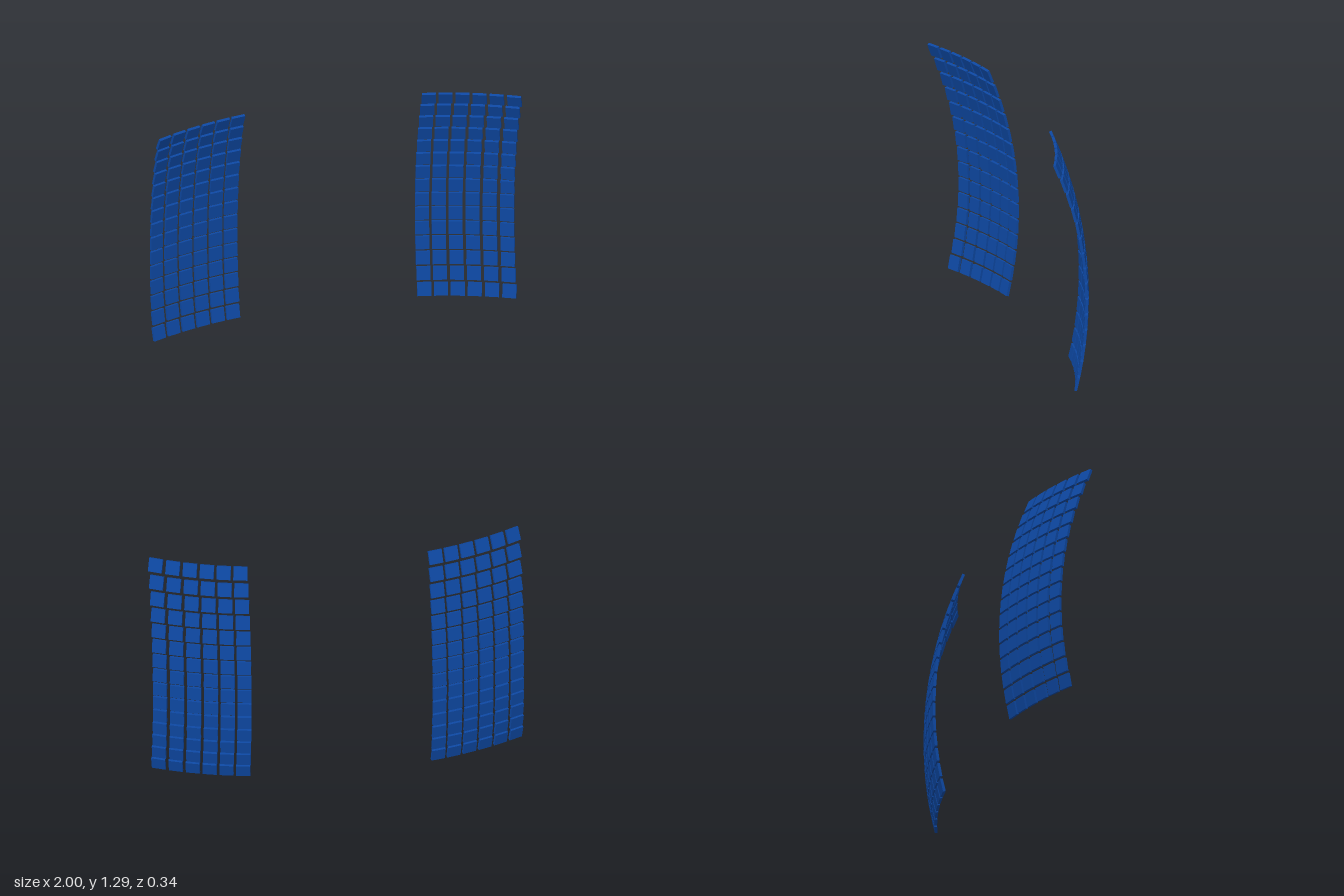
import * as THREE from 'three';

const COLUMNS = 6, ROWS = 15, PITCH = 0.087;
const TILE = 0.075, THICKNESS = 0.015;
const RADIUS = 2.04;

// One curved panel: square tiles laid on a sphere, each facing its centre
function buildPanel(side, geometry, material) {
  const panel = new THREE.Group();
  panel.name = side > 0 ? 'leftPanel' : 'rightPanel';
  const focus = new THREE.Vector3(0.18 * side, 0.485, 1.853);
  for (let row = 0; row < ROWS; row++) {
    for (let column = 0; column < COLUMNS; column++) {
      const x = side * (0.523 + column * PITCH);
      const y = 0.039 + row * PITCH;
      const dx = x - focus.x, dy = y - focus.y;
      const z = focus.z - Math.sqrt(RADIUS * RADIUS - dx * dx - dy * dy);
      const tile = new THREE.Mesh(geometry, material);
      tile.name = 'tile';
      tile.position.set(x, y, z);
      tile.lookAt(focus);
      panel.add(tile);
    }
  }
  return panel;
}

export function createModel() {
  const model = new THREE.Group();
  model.name = 'tiledPanels';
  const geometry = new THREE.BoxGeometry(TILE, TILE, THICKNESS);
  const material = new THREE.MeshStandardMaterial({ color: 0x0d47a1 });
  for (const side of [-1, 1]) model.add(buildPanel(side, geometry, material));
  return model;
}
